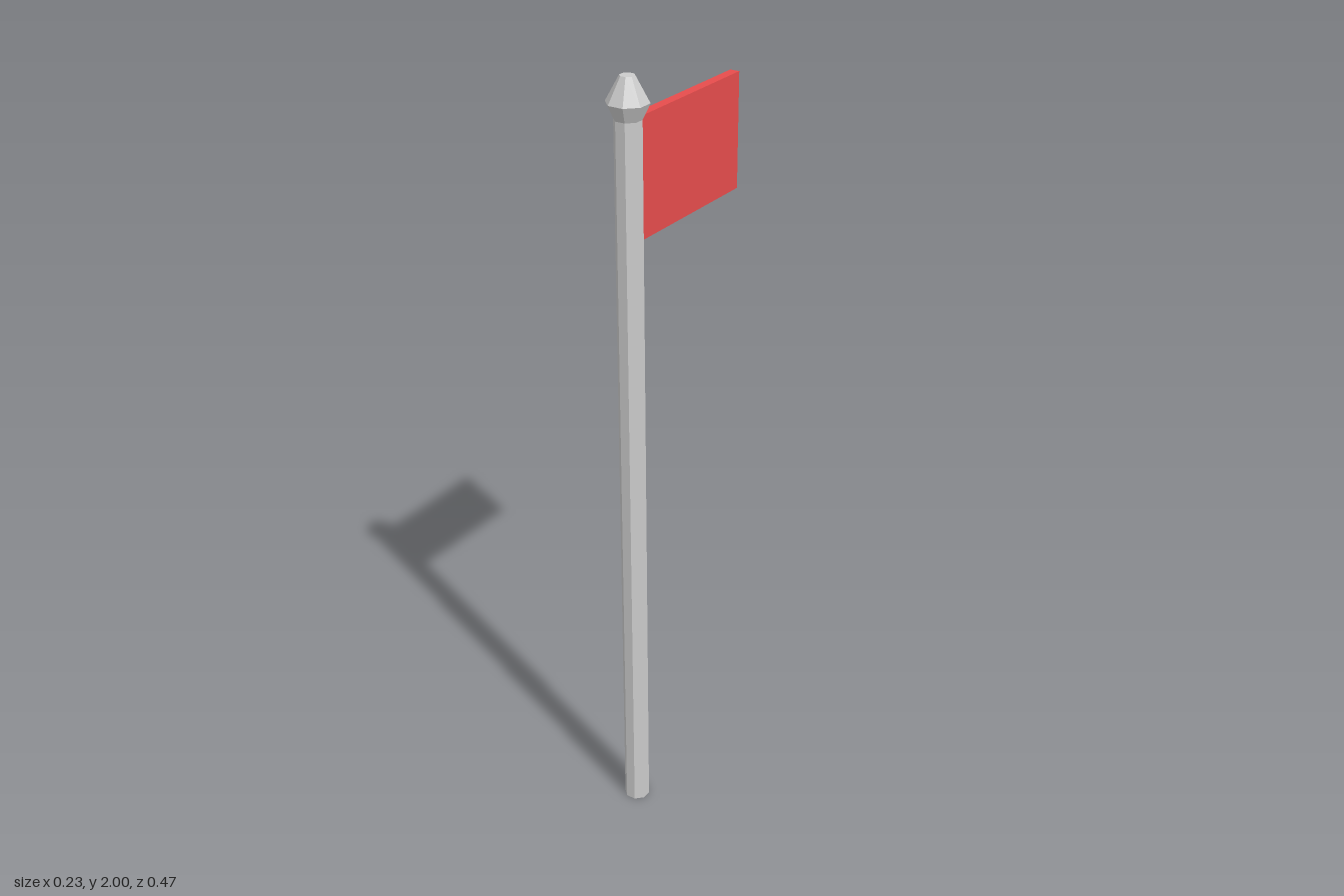
import * as THREE from 'three';

const SIDES = 8;
const POLE_RADIUS = 0.033;
const FLAG_BOTTOM = 1.61;
const FLAG_TOP = 1.902;

function addPart(group, name, geometry, material) {
  const mesh = new THREE.Mesh(geometry, material);
  mesh.name = name;
  group.add(mesh);
  return mesh;
}

export function createModel() {
  const model = new THREE.Group();
  model.name = 'flagpole';
  const grey = new THREE.MeshStandardMaterial({ color: 0xcccccc, flatShading: true });
  const red = new THREE.MeshStandardMaterial({ color: 0xe64c4c, flatShading: true });

  // Octagonal pole
  const pole = addPart(model, 'pole',
    new THREE.CylinderGeometry(POLE_RADIUS, POLE_RADIUS, FLAG_TOP, SIDES), grey);
  pole.position.y = FLAG_TOP / 2;

  // Faceted finial, flaring out and then tapering to a flat tip
  const profile = [[0, FLAG_TOP], [POLE_RADIUS, FLAG_TOP], [0.051, 1.94], [0.018, 2], [0, 2]]
    .map(([r, y]) => new THREE.Vector2(r, y));
  addPart(model, 'finial', new THREE.LatheGeometry(profile, SIDES), grey);

  // Stiff flag, swung round the pole towards the back
  const flagPivot = new THREE.Group();
  flagPivot.name = 'flagPivot';
  flagPivot.rotation.y = THREE.MathUtils.degToRad(67.5);
  model.add(flagPivot);
  const inner = 0.025, outer = 0.446;
  const flag = addPart(flagPivot, 'flag',
    new THREE.BoxGeometry(outer - inner, FLAG_TOP - FLAG_BOTTOM, 0.025), red);
  flag.position.set((inner + outer) / 2, (FLAG_TOP + FLAG_BOTTOM) / 2, 0);

  // Centre the overall footprint
  model.children.forEach((part) => {
    part.position.x -= 0.067;
    part.position.z += 0.182;
  });
  return model;
}
